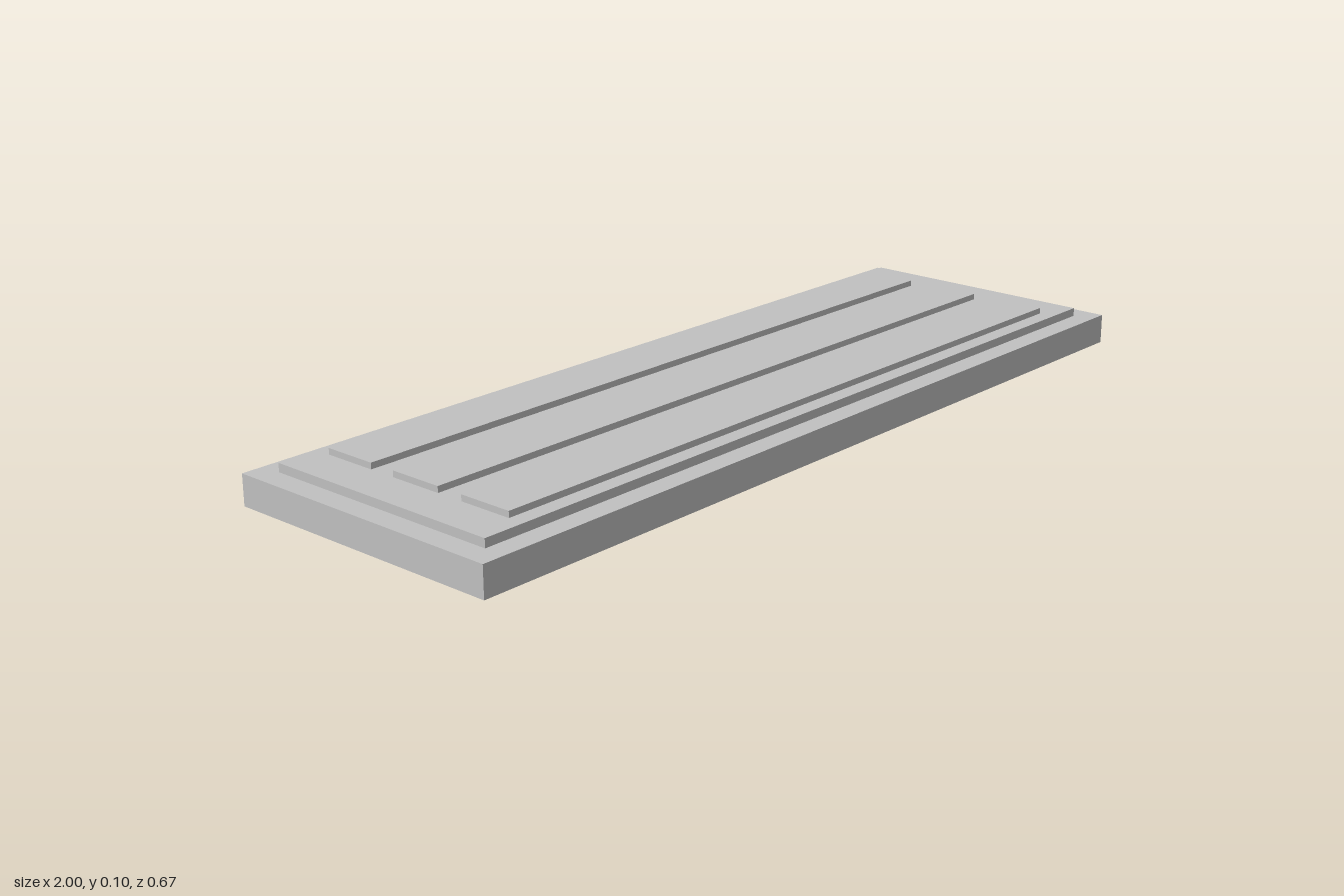
import * as THREE from 'three';

export function createModel() {
  const model = new THREE.Group();
  model.name = 'steppedPanel';

  const grey = new THREE.MeshStandardMaterial({ color: 0xc0c0c0 });
  grey.name = 'light grey';

  // Adds a box resting on height y
  function addSlab(name, width, height, depth, y, z = 0) {
    const mesh = new THREE.Mesh(new THREE.BoxGeometry(width, height, depth), grey);
    mesh.name = name;
    mesh.position.set(0, y + height / 2, z);
    model.add(mesh);
  }

  // Base slab and the raised plate on it
  addSlab('base', 2, 0.067, 0.667, 0);
  addSlab('raisedPlate', 1.9, 0.019, 0.571, 0.067);

  // Three long parallel strips on the plate
  ['backStrip', 'middleStrip', 'frontStrip'].forEach((name, i) => {
    addSlab(name, 1.716, 0.0135, 0.124, 0.086, (i - 1) * 0.187);
  });

  return model;
}
